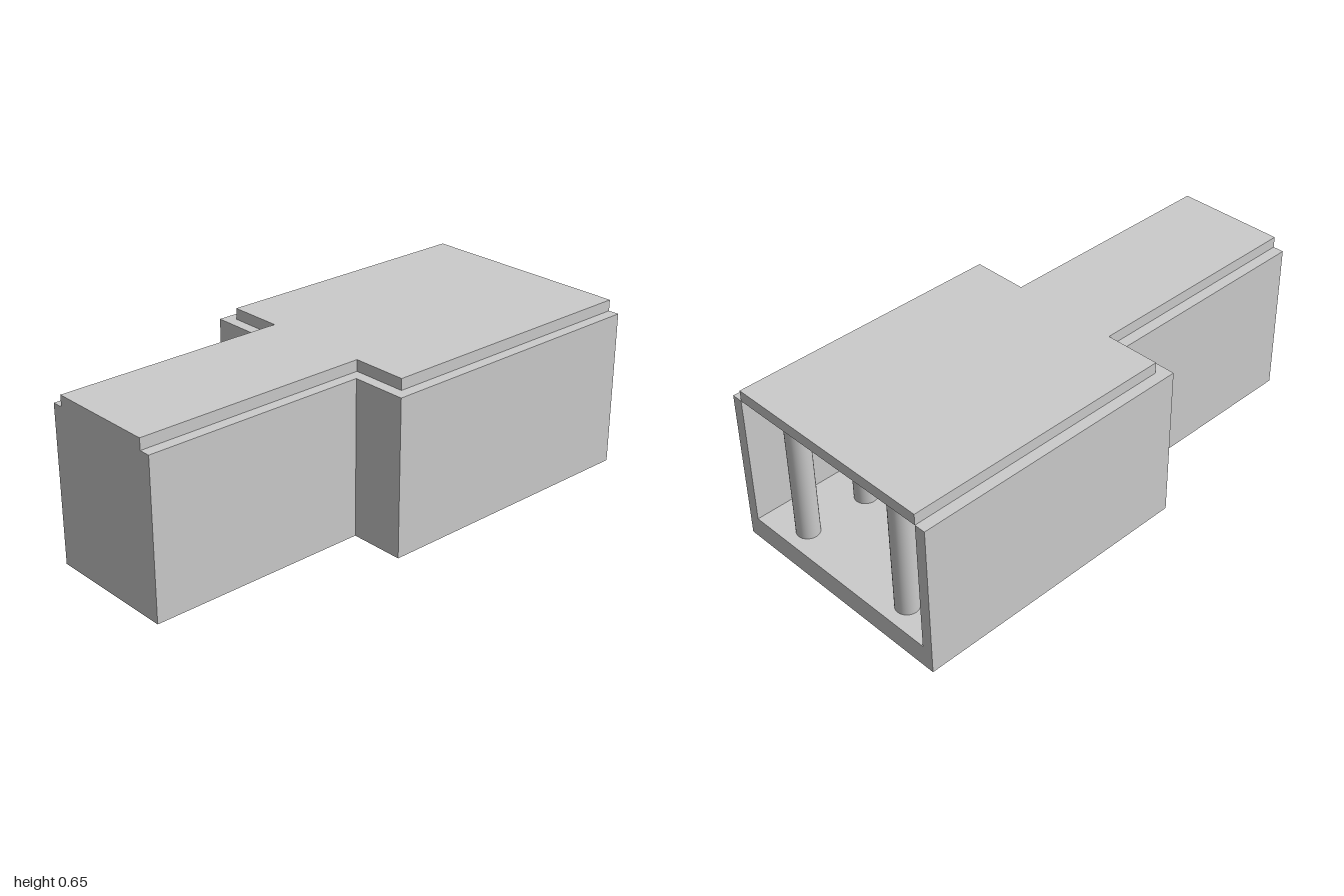
import * as THREE from 'three';

const U = 1 / 23; // module: every dimension is a whole number of these

export function createModel() {
  const model = new THREE.Group();
  const grey = new THREE.MeshStandardMaterial({ color: 0xcccccc });

  function add(name, geometry, x = 0, y = 0, z = 0) {
    const mesh = new THREE.Mesh(geometry, grey);
    mesh.name = name;
    mesh.position.set(x * U, y * U, z * U);
    model.add(mesh);
  }

  // Extrudes a plan outline (x, z in modules) upwards from y
  function slab(name, points, y, height) {
    const shape = new THREE.Shape(points.map(([x, z]) => new THREE.Vector2(x * U, -z * U)));
    const geometry = new THREE.ExtrudeGeometry(shape, { depth: height * U, bevelEnabled: false });
    geometry.rotateX(-Math.PI / 2);
    add(name, geometry, 0, y);
  }

  // Half outline from the open end to the narrow end, mirrored across z = 0
  const half = (wide, narrow, step, end) => [[23, wide], [step, wide], [step, narrow], [end, narrow]];
  const mirror = (pts) => pts.map(([x, z]) => [x, -z]).reverse();
  const closed = (pts) => [...pts, ...mirror(pts)];

  const outer = closed(half(11, 6, -3, -23));
  const inner = closed(half(10, 5, -2, -22));

  slab('floor', outer, 0, 2);
  // Walls run around the chamber and corridor, open at the +x end
  slab('walls', [...outer, ...inner.reverse()], 2, 12);
  slab('roof', closed(half(10, 5, -2, -23)), 14, 1);

  // Two rows of columns from floor to roof
  const column = new THREE.CylinderGeometry(U, U, 12 * U, 32);
  for (const z of [-6, 6]) {
    for (let i = 0; i < 4; i++) add('column', column, 21 - 6 * i, 8, z);
  }

  // Ball hanging in the middle of the chamber
  add('ball', new THREE.SphereGeometry(U, 32, 16), 10, 7, 0);

  return model;
}
